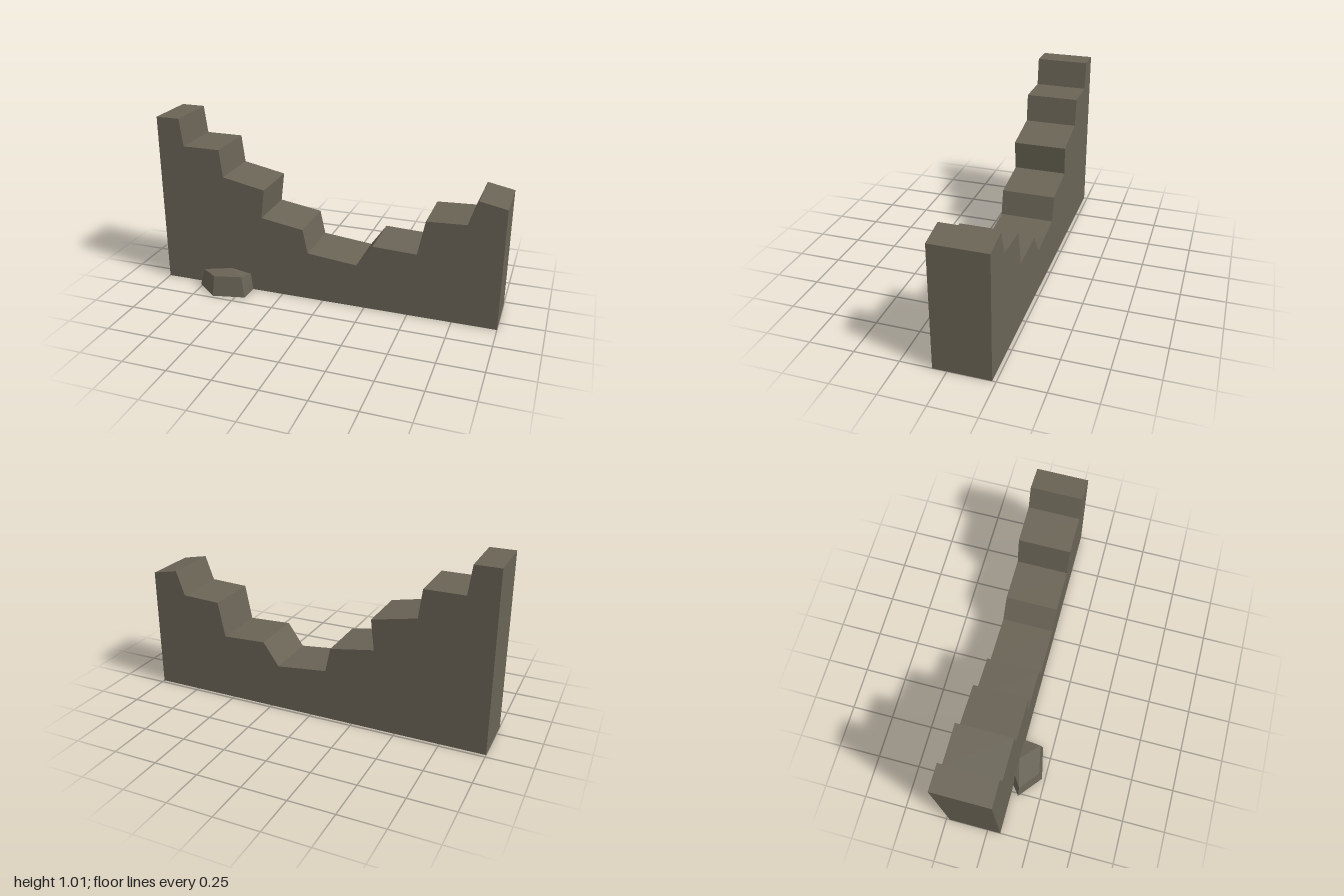
import * as THREE from 'three';

const BACK = -0.23, FRONT = 0.077;

// Broken wall: stepped outline extruded through its thickness
function wallGeometry() {
  const outline = [
    [-1, 0], [1, 0], [1, 0.7], [0.85, 0.73], [0.8, 0.59], [0.58, 0.58],
    [0.54, 0.38], [0.29, 0.39], [0.2, 0.26], [-0.09, 0.29], [-0.12, 0.43],
    [-0.37, 0.47], [-0.35, 0.64], [-0.6, 0.69], [-0.62, 0.85],
    [-0.84, 0.85], [-0.86, 1.01], [-1, 1.01],
  ];
  const shape = new THREE.Shape(outline.map(([x, y]) => new THREE.Vector2(x, y)));
  return new THREE.ExtrudeGeometry(shape, { depth: FRONT - BACK, bevelEnabled: false })
    .translate(0, 0, BACK);
}

// Fallen stone: tapered faceted block leaning against the wall
function stoneGeometry() {
  const base = [[-0.71, 0, FRONT], [-0.765, 0, 0.12], [-0.63, 0, 0.232], [-0.445, 0, 0.19], [-0.44, 0, FRONT]];
  const top = [[-0.67, 0.1, FRONT], [-0.735, 0.105, 0.12], [-0.625, 0.12, 0.212], [-0.465, 0.123, 0.178], [-0.45, 0.1, FRONT]];
  const crown = [-0.57, 0.118, FRONT], foot = [-0.57, 0, FRONT];
  const points = [];
  for (let i = 0; i < base.length - 1; i++) {
    const a = base[i], b = base[i + 1], c = top[i + 1], d = top[i];
    points.push(a, b, c, a, c, d); // side
    points.push(d, c, crown); // top
    points.push(b, a, foot); // underside
  }
  const geometry = new THREE.BufferGeometry();
  geometry.setAttribute('position', new THREE.Float32BufferAttribute(points.flat(), 3));
  geometry.computeVertexNormals();
  return geometry;
}

export function createModel() {
  const stone = new THREE.MeshStandardMaterial({ color: 0x6a6456 });
  stone.name = 'weathered stone';
  stone.flatShading = true;

  const group = new THREE.Group();
  group.name = 'ruinedWall';
  for (const [name, geometry] of [['wall', wallGeometry()], ['fallenStone', stoneGeometry()]]) {
    const mesh = new THREE.Mesh(geometry, stone);
    mesh.name = name;
    group.add(mesh);
  }
  return group;
}
